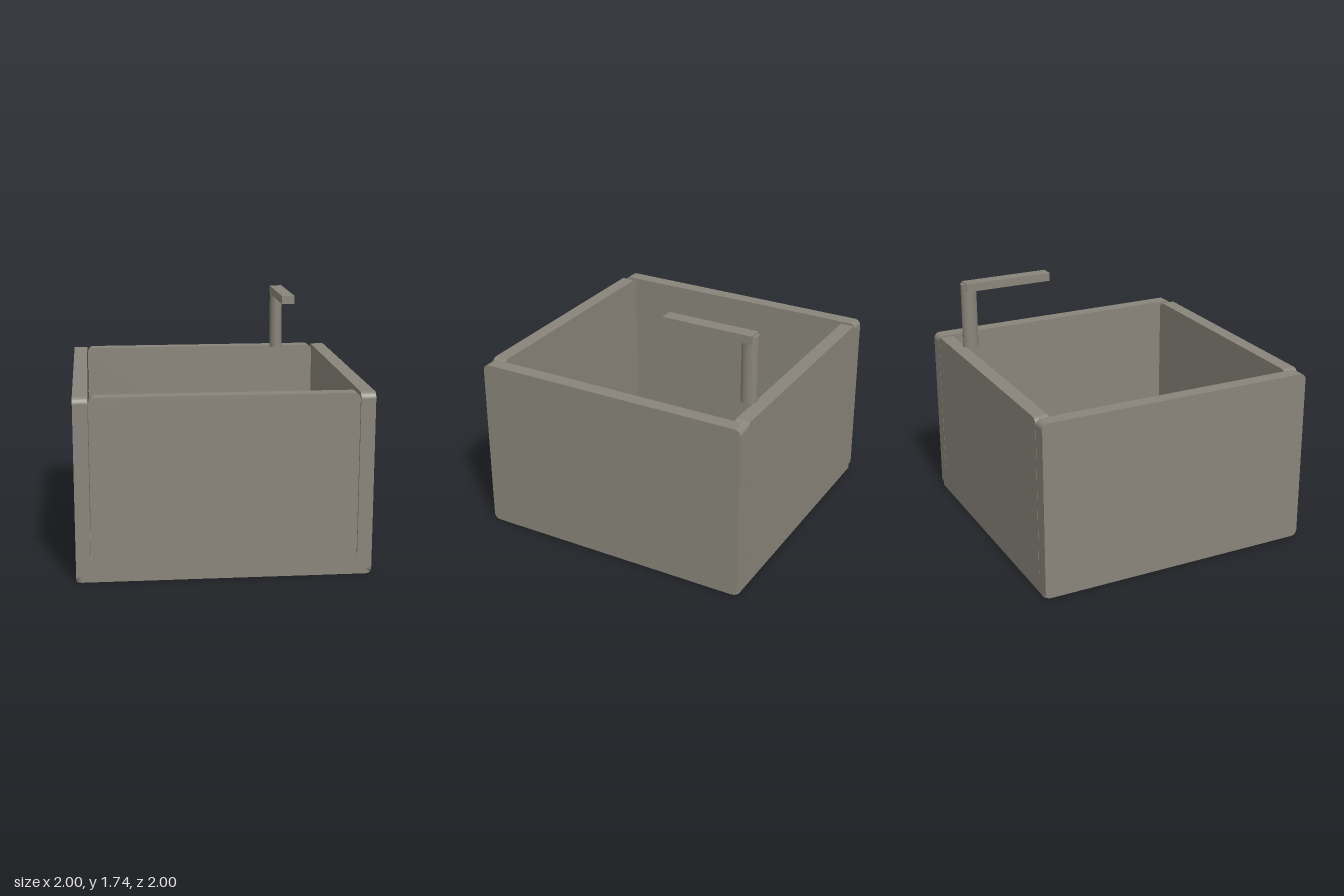
import * as THREE from 'three';

const T = 0.1, H = 1.26, R = 0.045;

// Flat slab with rounded corners, w by h, centred, thickness along z
function slab(w, h, t) {
  const x = w / 2, y = h / 2, s = new THREE.Shape();
  s.moveTo(-x + R, -y);
  s.lineTo(x - R, -y);
  s.absarc(x - R, -y + R, R, -Math.PI / 2, 0);
  s.lineTo(x, y - R);
  s.absarc(x - R, y - R, R, 0, Math.PI / 2);
  s.lineTo(-x + R, y);
  s.absarc(-x + R, y - R, R, Math.PI / 2, Math.PI);
  s.lineTo(-x, -y + R);
  s.absarc(-x + R, -y + R, R, Math.PI, Math.PI * 1.5);
  const g = new THREE.ExtrudeGeometry(s, { depth: t, bevelEnabled: false, curveSegments: 6 });
  return g.translate(0, 0, -t / 2);
}

export function createModel() {
  const model = new THREE.Group();
  model.name = 'basin';
  const stone = new THREE.MeshStandardMaterial({ color: 0x8a857b });
  stone.name = 'warm grey';

  const add = (name, geometry, x, y, z) => {
    const mesh = new THREE.Mesh(geometry, stone);
    mesh.name = name;
    mesh.position.set(x, y, z);
    model.add(mesh);
    return mesh;
  };

  // Side walls run the full depth
  for (const s of [-1, 1]) {
    add(s > 0 ? 'leftWall' : 'rightWall', slab(2, H, T).rotateY(Math.PI / 2), s * (1 - T / 2), H / 2, 0);
  }

  // Front and back walls sit between them with a narrow seam
  for (const s of [-1, 1]) {
    add(s > 0 ? 'frontWall' : 'backWall', slab(1.792, H, T), 0, H / 2, s * (1 - T / 2));
  }

  // Floor
  add('floor', slab(2, 2, 0.14).rotateX(Math.PI / 2), 0, 0.07, 0);

  // Tap: oval post and flat spout
  const post = add('tapPost', new THREE.CylinderGeometry(1, 1, 0.475, 32), 0.598, 1.4975, -0.858);
  post.scale.set(0.0475, 1, 0.058);
  add('tapSpout', new THREE.BoxGeometry(0.095, 0.06, 0.655), 0.598, 1.713, -0.5625);

  return model;
}
